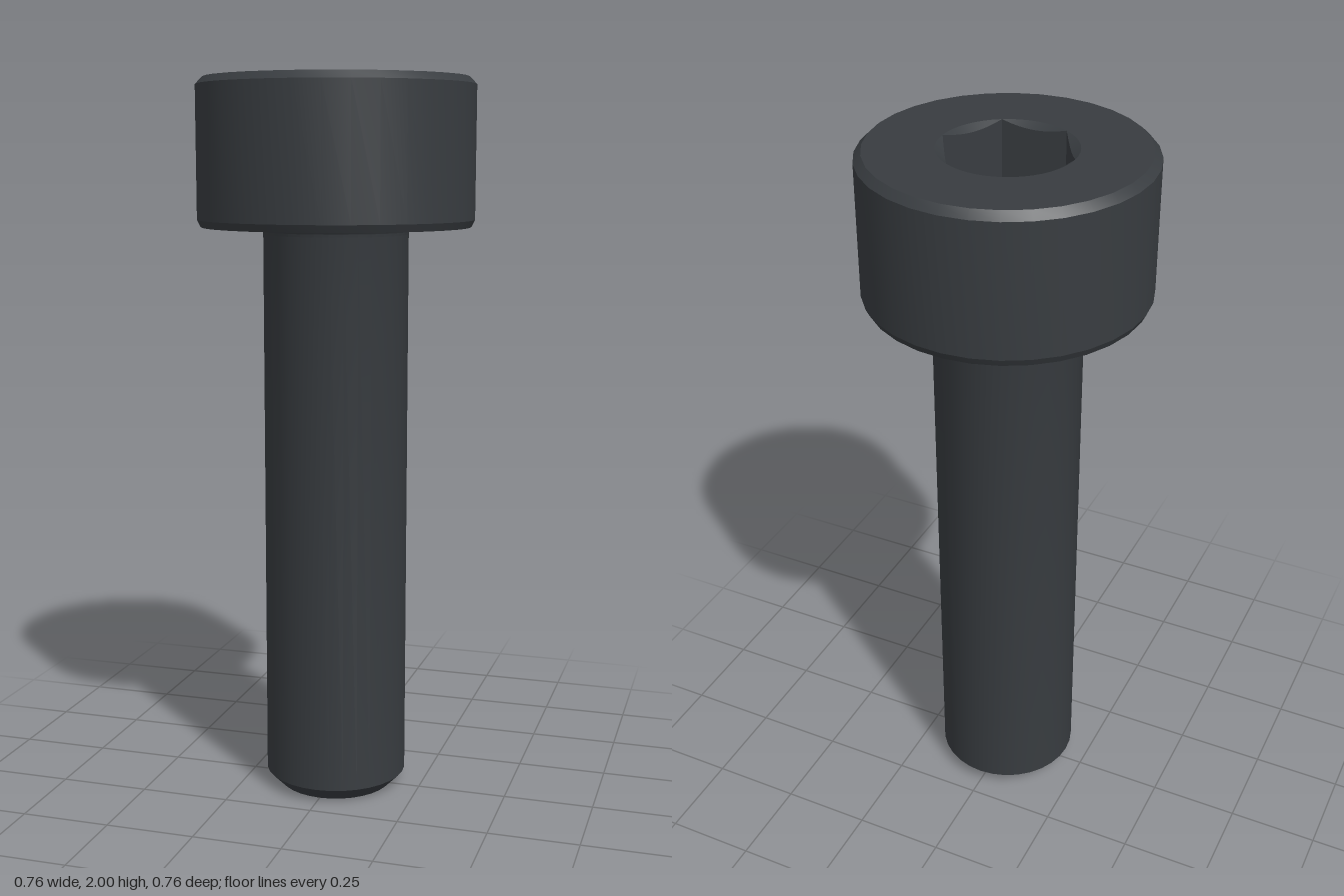
import * as THREE from 'three';
import { toCreasedNormals } from 'three/addons/utils/BufferGeometryUtils.js';

const SIDES = 32;
const TOP = 2, HEAD_BASE = 1.6, SHANK_R = 0.2, HEAD_R = 0.38;
const SOCKET_R = 0.179, SOCKET_DEPTH = 0.2, FILLET = 0.02;

const material = new THREE.MeshStandardMaterial({ color: 0x383c40 });

function addPart(group, name, geometry) {
  const mesh = new THREE.Mesh(toCreasedNormals(geometry, 0.42), material);
  mesh.name = name;
  group.add(mesh);
}

// Turned part from [radius, height] pairs, listed bottom to top
function turned(profile) {
  return new THREE.LatheGeometry(profile.map(([r, y]) => new THREE.Vector2(r, y)), SIDES);
}

function circlePoints(radius, count) {
  return Array.from({ length: count }, (_, i) => {
    const a = (i / count) * Math.PI * 2;
    return new THREE.Vector2(radius * Math.cos(a), radius * Math.sin(a));
  });
}

// Hexagonal recess: countersunk rim, six walls and a flat floor
function socketGeometry(steps) {
  const apothem = SOCKET_R * Math.cos(Math.PI / 6);
  const positions = [], index = [];
  for (let i = 0; i <= steps; i++) {
    const a = (i / steps) * Math.PI * 2;
    const hexR = apothem / Math.cos((a % (Math.PI / 3)) - Math.PI / 6);
    const rows = [
      [SOCKET_R, TOP],
      [hexR, TOP - (SOCKET_R - hexR) * Math.tan(Math.PI / 6)],
      [hexR, TOP - SOCKET_DEPTH],
      [0, TOP - SOCKET_DEPTH],
    ];
    for (const [r, y] of rows) positions.push(r * Math.cos(a), y, -r * Math.sin(a));
    if (i === steps) break;
    for (let j = 0; j < 3; j++) {
      const p = i * 4 + j, q = p + 4;
      index.push(p, q, q + 1, p, q + 1, p + 1);
    }
  }
  const geometry = new THREE.BufferGeometry();
  geometry.setAttribute('position', new THREE.Float32BufferAttribute(positions, 3));
  geometry.setIndex(index);
  return geometry;
}

export function createModel() {
  const screw = new THREE.Group();
  screw.name = 'socketHeadScrew';

  // Shank with chamfered tip and a small fillet under the head
  const shank = [[0, 0], [0.16, 0], [SHANK_R, 0.04]];
  for (let i = 0; i <= 4; i++) {
    const a = (i / 4) * Math.PI / 2;
    shank.push([
      SHANK_R + FILLET * (1 - Math.cos(a)),
      HEAD_BASE - FILLET * (1 - Math.sin(a)),
    ]);
  }
  addPart(screw, 'shank', turned(shank));

  // Cylindrical head with chamfered edges
  addPart(screw, 'head', turned([
    [SHANK_R + FILLET, HEAD_BASE], [0.37, HEAD_BASE], [HEAD_R, HEAD_BASE + 0.02],
    [HEAD_R, TOP - 0.02], [0.36, TOP],
  ]));

  // Flat top face around the socket
  const face = new THREE.Shape(circlePoints(0.36, SIDES));
  face.holes.push(new THREE.Path(circlePoints(SOCKET_R, 48)));
  addPart(screw, 'headTop',
    new THREE.ShapeGeometry(face).rotateX(-Math.PI / 2).translate(0, TOP, 0));

  addPart(screw, 'hexSocket', socketGeometry(48));
  return screw;
}
